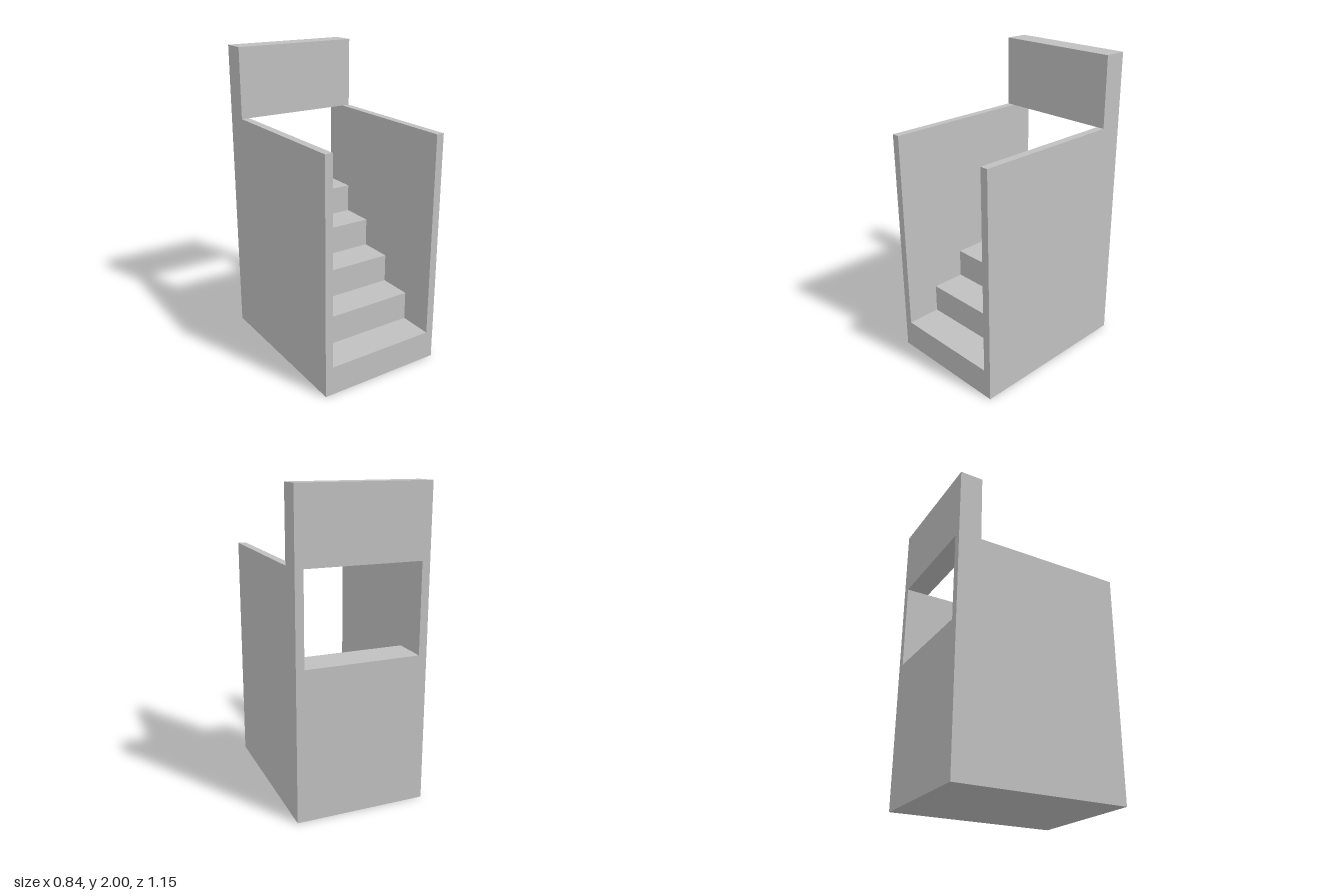
import * as THREE from 'three';

export function createModel() {
  const group = new THREE.Group();
  const grey = new THREE.MeshStandardMaterial({ color: 0xc0c0c0 });
  grey.name = 'light grey';

  const halfWidth = 0.422, innerHalf = 0.37;
  const front = 0.577, back = -0.577;
  const wallTop = 1.54, top = 2;
  const stepCount = 5, rise = 0.1925, run = (front - back) / stepCount;

  function add(name, geometry) {
    const mesh = new THREE.Mesh(geometry, grey);
    mesh.name = name;
    group.add(mesh);
  }

  // Box given by its minimum and maximum corners
  function box(name, [x0, y0, z0], [x1, y1, z1]) {
    const geometry = new THREE.BoxGeometry(x1 - x0, y1 - y0, z1 - z0);
    geometry.translate((x0 + x1) / 2, (y0 + y1) / 2, (z0 + z1) / 2);
    add(name, geometry);
  }

  // Solid staircase: side profile (z, y) extruded across the width
  const profile = new THREE.Shape();
  profile.moveTo(back, 0);
  profile.lineTo(front, 0);
  for (let i = 0; i < stepCount; i++) {
    profile.lineTo(front - i * run, (i + 1) * rise);
    profile.lineTo(front - (i + 1) * run, (i + 1) * rise);
  }
  profile.closePath();
  const stairs = new THREE.ExtrudeGeometry(profile, { depth: 2 * innerHalf, bevelEnabled: false });
  stairs.translate(0, 0, -innerHalf);
  stairs.rotateY(-Math.PI / 2);
  add('stairs', stairs);

  // Side walls
  box('leftWall', [innerHalf, 0, back], [halfWidth, wallTop, front]);
  box('rightWall', [-halfWidth, 0, back], [-innerHalf, wallTop, front]);

  // Lintel resting on the back ends of the walls
  box('lintel', [-halfWidth, wallTop, back], [halfWidth, top, -0.425]);

  return group;
}
